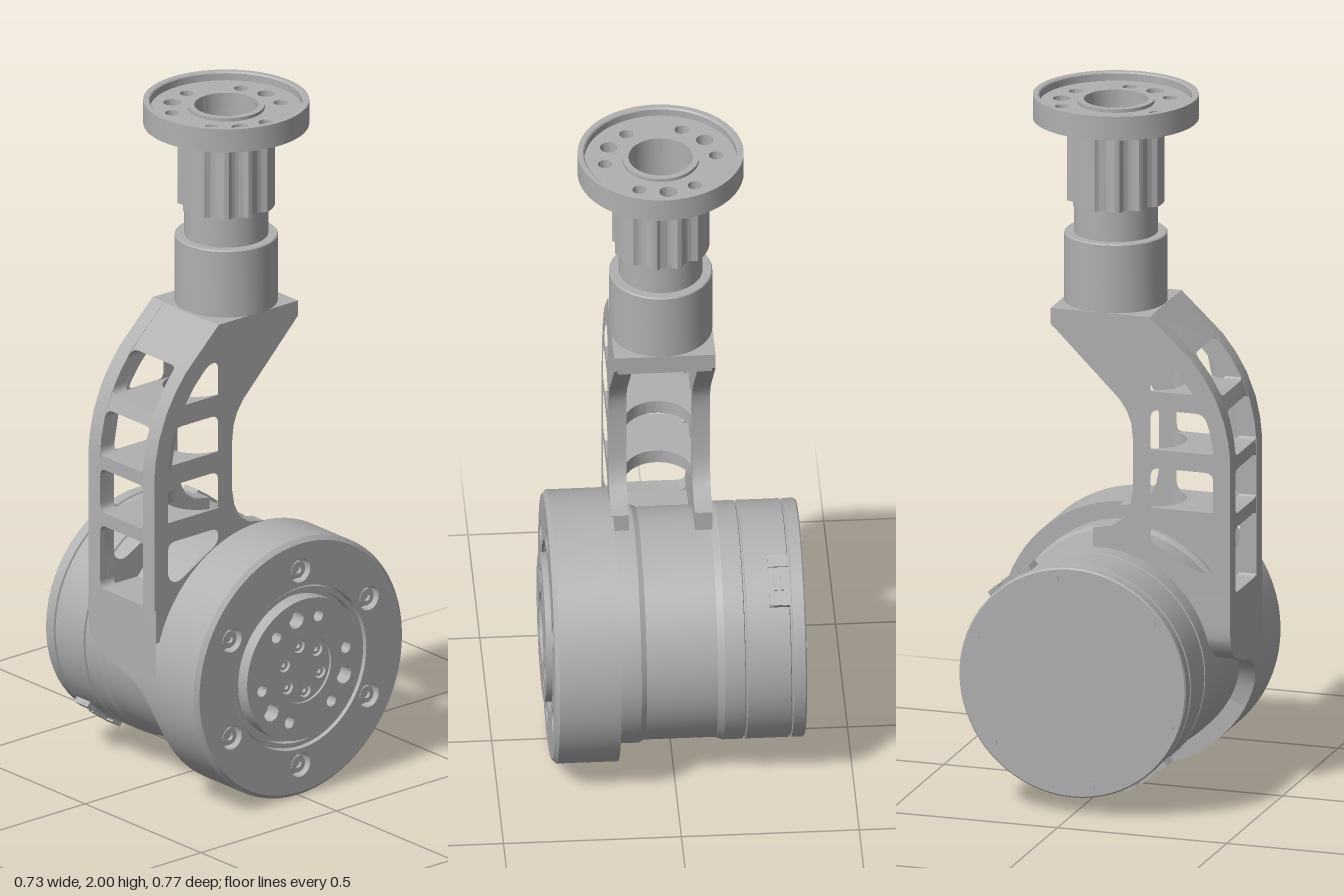
import * as THREE from 'three';
import { toCreasedNormals } from 'three/addons/utils/BufferGeometryUtils.js';

const metal = new THREE.MeshStandardMaterial({ color: 0xb0b0b0 });
metal.name = 'machined grey';

const AXIS_Y = 0.385; // height of the motor axis
const COL_X = 0.025; // x of the vertical column axis
const V = (x, y) => new THREE.Vector2(x, y);
const rad = THREE.MathUtils.degToRad;

function add(parent, name, geometry, crease = 0.6) {
  const mesh = new THREE.Mesh(toCreasedNormals(geometry, crease), metal);
  mesh.name = name;
  parent.add(mesh);
  return mesh;
}

// Turned part: points are [radius, height] and run counter-clockwise
const turned = (pts, seg = 72) => new THREE.LatheGeometry(pts.map(p => V(...p)), seg);
const turnedX = (pts, seg) => turned(pts, seg).rotateZ(-Math.PI / 2);

const extrude = (shape, depth) =>
  new THREE.ExtrudeGeometry(shape, { depth, bevelEnabled: false, curveSegments: 20 });
// Shape drawn as (-z, y), running along x
const extrudeX = (shape, x0, x1) => extrude(shape, x1 - x0).rotateY(Math.PI / 2).translate(x0, 0, 0);
// Shape drawn as (x, -z), running up y
const extrudeY = (shape, y0, y1) => extrude(shape, y1 - y0).rotateX(-Math.PI / 2).translate(0, y0, 0);

const circle = (r, x = 0, y = 0) => new THREE.Path().absarc(x, y, r, 0, Math.PI * 2, true);

// Disc with round holes, holes are [radius, x, y]
function disc(r, holes) {
  const s = new THREE.Shape().absarc(0, 0, r, 0, Math.PI * 2, false);
  // finer outline than the holes
  const d = new THREE.Shape(s.getPoints(36));
  holes.forEach(h => d.holes.push(new THREE.Path(circle(...h).getPoints(h[0] > 0.06 ? 36 : 10))));
  return d;
}

// Polygon with rounded corners
function rounded(pts, r) {
  const path = new THREE.Path();
  const n = pts.length;
  pts.forEach((p, i) => {
    const c = V(...p);
    const toward = q => {
      const d = V(...q).sub(c);
      return c.clone().addScaledVector(d, Math.min(r / d.length(), 0.45));
    };
    const a = toward(pts[(i + n - 1) % n]), b = toward(pts[(i + 1) % n]);
    if (i) path.lineTo(a.x, a.y); else path.moveTo(a.x, a.y);
    path.quadraticCurveTo(c.x, c.y, b.x, b.y);
  });
  path.closePath();
  return new THREE.Path(path.getPoints(4));
}

// Nine-hole bolt pattern shared by both output flanges
const pattern = [0, 60, 90, 120, 180, 210, 240, 300, 330];
const boltHoles = (offset, big, small) => pattern.map((a, i) => {
  const t = rad(a + offset);
  return [i % 3 === 2 ? big : small, 0.157 * Math.cos(t), 0.157 * Math.sin(t)];
});
const ringOf = (n, r, size, offset) => Array.from({ length: n }, (_, i) => {
  const t = rad(offset) + i * Math.PI * 2 / n;
  return [size, r * Math.cos(t), r * Math.sin(t)];
});

function motor() {
  const g = new THREE.Group();
  g.name = 'motor';
  g.position.y = AXIS_Y;

  add(g, 'housing', turnedX([
    [0, -0.365], [0.331, -0.365], [0.335, -0.361], [0.335, -0.328], [0.329, -0.326], [0.329, -0.322],
    [0.335, -0.32], [0.335, -0.199], [0.329, -0.197], [0.329, -0.193], [0.335, -0.191],
    [0.335, -0.135], [0.327, -0.115], [0.327, 0.085], [0.335, 0.1], [0.335, 0.17]]), 0.3);
  add(g, 'flange', turnedX([
    [0, 0.16], [0.385, 0.16], [0.385, 0.333], [0.373, 0.345], [0.34, 0.345], [0.34, 0.315], [0, 0.315]]));

  // Bolted face with counterbored screws
  const screws = ringOf(6, 0.292, 0.036, 30);
  add(g, 'flangeFace', extrudeX(disc(0.3405, [[0.243, 0, 0], ...screws]), 0.315, 0.345));
  const hubScrews = ringOf(6, 0.07, 0.02, 39);
  const screw = (name, [, x, y], r, x0, x1) =>
    add(g, name, turnedX([[0, x0], [r, x0], [r, x1], [r * 0.45, x1], [r * 0.45, x1 - 0.01], [0, x1 - 0.01]], 16)
      .translate(0, y, -x));
  screws.forEach(s => screw('flangeScrew', s, 0.025, 0.31, 0.336));

  // Output boss
  add(g, 'sealRing', turnedX([[0.224, 0.31], [0.237, 0.31], [0.237, 0.338], [0.224, 0.338], [0.224, 0.31]]));
  add(g, 'outputBoss', extrudeX(disc(0.21, [[0.1, 0, 0], ...boltHoles(10, 0.026, 0.017)]), 0.315, 0.36));
  add(g, 'outputHub', extrudeX(disc(0.1, hubScrews), 0.315, 0.353));
  hubScrews.forEach(s => screw('hubScrew', s, 0.016, 0.31, 0.347));

  // Rear cover screws
  ringOf(6, 0.305, 0.012, 20).forEach(([r, x, y]) =>
    add(g, 'coverScrew', new THREE.CylinderGeometry(r, r, 0.008, 14).rotateZ(Math.PI / 2).translate(-0.364, y, -x)));

  // Cable sockets on opposite sides of the housing
  for (const turn of [-0.64, Math.PI - 0.64]) {
    const c = new THREE.Group();
    c.name = 'cableSocket';
    c.rotation.x = turn;
    g.add(c);
    const box = (name, w, h, d, x, y, z) =>
      add(c, name, new THREE.BoxGeometry(w, h, d).translate(x, y, z));
    box('socketPlate', 0.057, 0.02, 0.15, -0.293, 0.327, 0);
    for (const s of [-1, 1]) {
      box('socketEnd', 0.057, 0.014, 0.035, -0.293, 0.336, s * 0.057);
      box('socketPin', 0.008, 0.012, 0.06, -0.293 + s * 0.009, 0.34, 0);
    }
  }
  return g;
}

function arm() {
  const g = new THREE.Group();
  g.name = 'arm';
  const xL = -0.12, xR = 0.165, wall = 0.05;

  // Front edge of the arm as (z, y)
  const front = [[0.385, 0.5], [0.385, 1.0], [0.38, 1.05], [0.367, 1.11], [0.34, 1.18],
    [0.308, 1.235], [0.27, 1.285], [0.148, 1.4]];
  const zFront = y => {
    const i = Math.max(1, front.findIndex(p => p[1] >= y - 1e-6));
    const [a, b] = [front[i - 1], front[i]];
    return a[0] + (b[0] - a[0]) * (y - a[1]) / (b[1] - a[1]);
  };
  const back = [[-0.145, 1.4], [-0.145, 1.355], [-0.13, 1.34], [0.058, 1.153], [0.08, 1.12], [0.093, 1.085],
    [0.098, 1.04], [0.098, 0.89], [0.09, 0.845], [0.07, 0.805], [0.035, 0.78], [-0.02, 0.77],
    [-0.02, 0.6], [0.2, 0.5]];

  // Side walls with four windows
  const side = new THREE.Shape([...front, ...back].map(([z, y]) => V(-z, y)));
  [[[0.335, 0.79], [0.15, 0.79], [0.15, 0.745], [0.24, 0.695], [0.3, 0.662], [0.335, 0.68]],
    [[0.335, 0.83], [0.335, 0.96], [0.15, 0.96], [0.15, 0.83]],
    [[0.338, 1.0], [0.328, 1.07], [0.308, 1.13], [0.15, 1.13], [0.15, 1.0]],
    [[0.285, 1.17], [0.24, 1.235], [0.185, 1.29], [0.15, 1.29], [0.15, 1.17]],
  ].forEach(w => side.holes.push(rounded(w.map(([z, y]) => [-z, y]), 0.025)));
  add(g, 'sideWall', extrudeX(side, xL, xL + wall));
  add(g, 'sideWall', extrudeX(side, xR - wall, xR));

  // Front wall with four windows, leaned back along the front edge
  const ys = Array.from({ length: 31 }, (_, i) => 0.5 + i * 0.03);
  const panel = new THREE.Shape([...ys.map(y => V(0.13, y)), ...ys.map(y => V(-0.085, y)).reverse()]);
  [[0.6, 0.79], [0.83, 0.96], [1.0, 1.13], [1.17, 1.29]].forEach(([a, b]) =>
    panel.holes.push(rounded([[-0.07, a], [0.12, a], [0.12, b], [-0.07, b]], 0.022)));
  const sheet = extrude(panel, wall);
  const p = sheet.attributes.position;
  for (let i = 0; i < p.count; i++) p.setZ(i, p.getZ(i) + zFront(p.getY(i)) - wall - 0.001);
  add(g, 'frontWall', sheet);

  // Rungs between the windows, hollowed at the back
  for (const [y0, y1] of [[0.79, 0.83], [0.96, 1.0], [1.13, 1.17]]) {
    const z = zFront(y1) - 0.02;
    const s = new THREE.Shape([V(-0.075, -z), V(0.125, -z), V(0.125, -0.11)]);
    s.absarc(COL_X, -0.11, 0.095, 0, Math.PI, true);
    s.lineTo(-0.075, -0.11);
    add(g, 'rung', extrudeY(s, y0, y1));
  }

  // Top plate with the cable bore
  const top = new THREE.Shape([V(xL + 0.01, -0.148), V(xR - 0.01, -0.148), V(xR - 0.01, 0.145), V(xL + 0.01, 0.145)]);
  top.holes.push(circle(0.09, COL_X, 0));
  add(g, 'topPlate', extrudeY(top, 1.345, 1.4));

  // Saddle that flows from the arm round the motor with an S-shaped edge
  const edge = new THREE.SplineCurve([[-0.12, 0.6], [-0.12, 0.5], [-0.11, 0.455], [-0.075, 0.415], [0, 0.387],
    [0.06, 0.37], [0.11, 0.335], [0.145, 0.275], [0.16, 0.2], [0.165, 0.16]].map(q => V(...q))).getPoints(36);
  const pos = [], idx = [];
  edge.forEach(({ x, y }, i) => {
    const dy = y - AXIS_Y;
    const z = dy > 0 ? 0.385 : Math.sqrt(0.385 ** 2 - dy * dy);
    pos.push(x, AXIS_Y + dy * (dy > 0 ? 1 : 0.75), z * 0.7, x, y, z, 0.172, y, z);
    if (!i) return;
    for (const c of [0, 1]) {
      const a = (i - 1) * 3 + c, b = a + 3;
      idx.push(a, b, a + 1, a + 1, b, b + 1);
    }
  });
  const saddle = new THREE.BufferGeometry();
  saddle.setAttribute('position', new THREE.Float32BufferAttribute(pos, 3));
  saddle.setIndex(idx);
  add(g, 'saddle', saddle);
  add(g, 'saddleSill', new THREE.BoxGeometry(0.2, 0.1, 0.15).translate(COL_X, 0.55, 0.309));
  return g;
}

function column() {
  const g = new THREE.Group();
  g.name = 'column';
  g.position.x = COL_X;
  add(g, 'collar', turned([[0.09, 1.4], [0.145, 1.4], [0.145, 1.597], [0.142, 1.6], [0.09, 1.6], [0.09, 1.4]]));
  add(g, 'neck', turned([[0.04, 1.5], [0.118, 1.5], [0.118, 1.7], [0.04, 1.7], [0.04, 1.5]]));

  // Fluted barrel, scalloped in line with the bolt holes
  const outline = [];
  for (let i = 0; i < 240; i++) {
    const t = i / 240 * Math.PI * 2;
    let r = 0.137;
    for (const a of pattern) {
      const d = t - rad(a + 4), s = 0.036 ** 2 - (0.157 * Math.sin(d)) ** 2;
      if (Math.cos(d) > 0 && s > 0) r = Math.min(r, 0.157 * Math.cos(d) - Math.sqrt(s));
    }
    outline.push(V(r * Math.cos(t), r * Math.sin(t)));
  }
  const barrel = new THREE.Shape(outline);
  barrel.holes.push(circle(0.09));
  add(g, 'flutedBarrel', extrudeY(barrel, 1.69, 1.935));

  // Mounting flange with raised rim and pilot ring
  add(g, 'mountPlate', extrudeY(disc(0.22, [[0.09, 0, 0], ...boltHoles(4, 0.025, 0.02)]), 1.93, 1.975));
  add(g, 'mountRim', turned([[0.214, 1.93], [0.233, 1.93], [0.233, 2], [0.218, 2], [0.214, 1.996], [0.214, 1.93]]));
  add(g, 'pilotRing', turned([[0.09, 1.94], [0.108, 1.94], [0.108, 1.985], [0.09, 1.985], [0.09, 1.94]]));
  return g;
}

export function createModel() {
  const model = new THREE.Group();
  model.name = 'robotJoint';
  model.add(motor(), arm(), column());
  return model;
}
